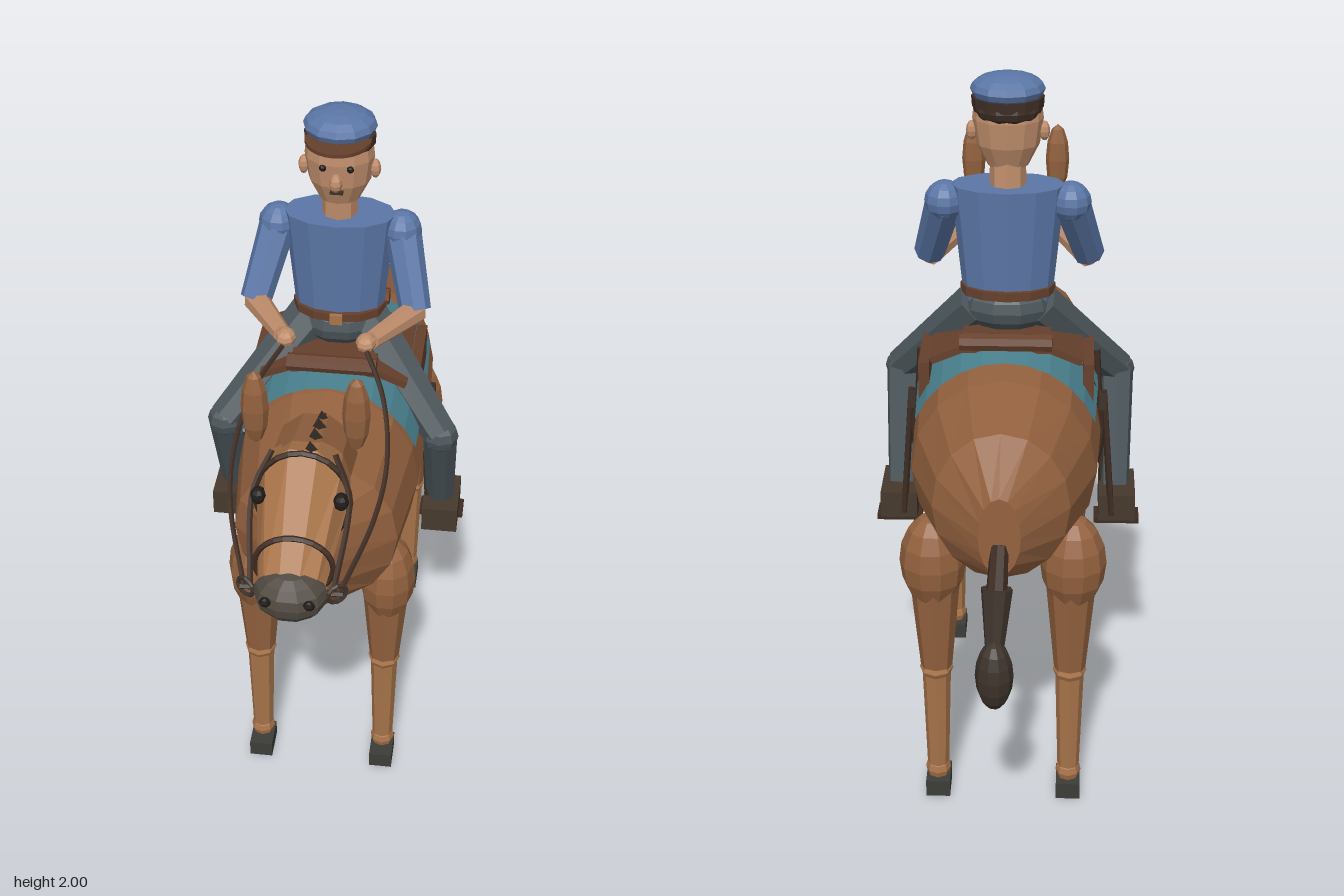
import * as THREE from 'three';

const mat = (color, side = THREE.FrontSide) => new THREE.MeshStandardMaterial({ color, flatShading: true, side });
const M = {
  coat: mat(0x94623f), light: mat(0xa8744a), dark: mat(0x3d332b), leather: mat(0x66402c), strap: mat(0x3e2c22),
  hoof: mat(0x3c3c38), muzzle: mat(0x514a42), black: mat(0x1f1b19), blanket: mat(0x4b8290, THREE.DoubleSide),
  shirt: mat(0x5b76a6), pants: mat(0x4c565b), skin: mat(0xc08e6c), shoe: mat(0x46392d), hair: mat(0x3f2f26),
};

export function createModel() {
  const model = new THREE.Group();
  let target = model;
  const V = (x, y, z) => new THREE.Vector3(x, y, z);
  const group = (name) => {
    target = new THREE.Group();
    target.name = name;
    model.add(target);
  };
  const add = (name, geo, m, p = [0, 0, 0]) => {
    const mesh = new THREE.Mesh(geo, m);
    mesh.name = name;
    mesh.position.set(...p);
    target.add(mesh);
    return mesh;
  };
  const box = (name, size, p, m) => add(name, new THREE.BoxGeometry(...size), m, p);
  const ball = (name, r, p, m, w = 10, h = 8) => {
    const b = add(name, new THREE.SphereGeometry(1, w, h), m, p);
    b.scale.set(...r);
    return b;
  };
  // Tapered limb between two points
  const limb = (name, a, b, r0, r1, m, sides = 8) => {
    const A = V(...a), B = V(...b), d = B.clone().sub(A);
    const mesh = add(name, new THREE.CylinderGeometry(r1, r0, d.length(), sides), m);
    mesh.position.copy(A).add(B).multiplyScalar(0.5);
    mesh.quaternion.setFromUnitVectors(V(0, 1, 0), d.normalize());
    return mesh;
  };
  const tube = (name, pts, r, m, closed = false) =>
    add(name, new THREE.TubeGeometry(new THREE.CatmullRomCurve3(pts.map((p) => V(...p)), closed), 24, r, 5, closed), m);
  // Skin over upright ellipses, front to back; each section is [z, top, bottom, halfWidth]
  const loft = (name, secs, m, n = 16, from = 0, to = Math.PI * 2, grow = 0) => {
    const pos = [], idx = [], whole = to - from > 6;
    secs.forEach(([z, t, b, w]) => {
      for (let j = 0; j <= n; j++) {
        const a = from + ((to - from) * j) / n;
        pos.push(Math.cos(a) * (w + grow), (t + b) / 2 + Math.sin(a) * ((t - b) / 2 + grow), z);
      }
    });
    const row = n + 1;
    for (let i = 0; i < secs.length - 1; i++) for (let j = 0; j < n; j++) {
      const p = i * row + j, q = p + row;
      idx.push(p, q, p + 1, p + 1, q, q + 1);
    }
    const last = (secs.length - 1) * row;
    if (whole) for (let j = 1; j < n - 1; j++) idx.push(0, j, j + 1, last, last + j + 1, last + j);
    const g = new THREE.BufferGeometry();
    g.setAttribute('position', new THREE.Float32BufferAttribute(pos, 3));
    g.setIndex(idx);
    g.computeVertexNormals();
    return add(name, g, m);
  };
  const both = (fn) => [1, -1].forEach(fn);

  // Horse trunk, neck and head
  group('horse');
  loft('body', [[0.56, 1.16, 0.84, 0.06], [0.4, 1.23, 0.74, 0.225], [0.14, 1.275, 0.695, 0.258], [-0.14, 1.275, 0.69, 0.265],
    [-0.45, 1.26, 0.725, 0.25], [-0.67, 1.215, 0.79, 0.18], [-0.785, 1.09, 0.865, 0.055]], M.coat);
  loft('neck', [[0.56, 1.43, 1.18, 0.11], [0.37, 1.375, 1.12, 0.11], [0.27, 1.28, 1.1, 0.09]], M.coat, 10);
  loft('head', [[0.88, 1.24, 1.12, 0.08], [0.62, 1.45, 1.16, 0.12], [0.53, 1.42, 1.18, 0.11]], M.light, 10);
  ball('muzzle', [0.095, 0.07, 0.075], [0, 1.18, 0.86], M.muzzle);
  both((s) => {
    ball('ear', [0.036, 0.11, 0.035], [s * 0.128, 1.53, 0.57], M.coat, 8, 6);
    ball('eye', [0.02, 0.024, 0.024], [s * 0.105, 1.345, 0.69], M.black, 8, 6);
    ball('nostril', [0.016, 0.014, 0.012], [s * 0.055, 1.2, 0.923], M.black, 6, 4);
  });
  // Mane tufts
  [[1.46, 0.62], [1.44, 0.54], [1.42, 0.47], [1.39, 0.4], [1.33, 0.33], [1.285, 0.28]].forEach(([y, z]) => {
    const t = add('maneTuft', new THREE.ConeGeometry(0.018, 0.06, 4), M.dark, [0.02, y, z]);
    t.rotation.x = 0.5;
  });

  // Legs
  [['frontLeg', 0.28, 0.735, 0.145, 0.08], ['hindLeg', -0.54, 0.765, 0.14, 0.09]].forEach(([name, z, hy, hr, hw]) => both((s) => {
    group(name);
    const x = s * 0.185;
    ball('shoulder', [hw, hr, 0.088], [s * 0.19, hy, z], M.coat);
    limb('upperLeg', [x, 0.74, z], [x, 0.42, z], 0.072, 0.043, M.coat);
    ball('knee', [0.047, 0.03, 0.05], [x, 0.42, z], M.light, 8, 6);
    limb('cannon', [x, 0.42, z], [x, 0.08, z], 0.04, 0.03, M.light);
    ball('fetlock', [0.036, 0.035, 0.038], [x, 0.08, z], M.light, 8, 6);
    box('hoof', [0.068, 0.05, 0.098], [x, 0.026, z + 0.012], M.hoof);
  }));

  // Tail
  group('tail');
  limb('tailRoot', [0, 0.95, -0.77], [0.005, 0.84, -0.825], 0.024, 0.028, M.strap);
  limb('tailHair', [0.005, 0.85, -0.82], [0.01, 0.69, -0.87], 0.042, 0.024, M.dark);
  ball('tailTip', [0.05, 0.1, 0.052], [0.01, 0.63, -0.885], M.dark);

  // Saddle and blanket
  group('saddle');
  loft('blanket', [[0.145, 1.275, 0.695, 0.258], [-0.14, 1.275, 0.69, 0.265], [-0.375, 1.264, 0.716, 0.254]],
    M.blanket, 10, 0.41, Math.PI - 0.41, 0.012);
  box('seat', [0.24, 0.03, 0.33], [0, 1.278, -0.12], M.leather);
  [0.055, -0.305].forEach((z) => limb('roll', [-0.125, 1.305, z], [0.125, 1.305, z], 0.025, 0.025, M.leather));
  both((s) => {
    box('saddleFlap', [0.03, 0.11, 0.21], [s * 0.225, 1.175, -0.175], M.leather);
    box('saddleSkirt', [0.1, 0.02, 0.3], [s * 0.16, 1.25, -0.12], M.leather).rotation.z = -s * 0.4;
    box('girthBuckle', [0.02, 0.05, 0.03], [s * 0.268, 1.07, -0.168], M.dark);
    limb('stirrupLeather', [s * 0.25, 1.18, -0.07], [s * 0.275, 0.74, -0.07], 0.01, 0.01, M.strap, 5);
    limb('stirrupStrap', [s * 0.27, 1.1, -0.168], [s * 0.3, 0.7, -0.165], 0.01, 0.01, M.strap, 5);
    box('stirrupTread', [0.13, 0.016, 0.07], [s * 0.315, 0.675, -0.12], M.strap);
  });
  const girth = add('girth', new THREE.TorusGeometry(1, 0.035, 5, 24), M.strap, [0, 0.982, -0.168]);
  girth.scale.set(0.268, 0.297, 0.4);

  // Bridle and reins
  group('bridle');
  const band = (name, z, y, rx, ry) => {
    const pts = [];
    for (let i = 0; i < 12; i++) pts.push([Math.cos(i * Math.PI / 6) * rx, y + Math.sin(i * Math.PI / 6) * ry, z]);
    tube(name, pts, 0.008, M.strap, true);
  };
  band('browBand', 0.635, 1.3, 0.122, 0.145);
  band('noseBand', 0.8, 1.218, 0.1, 0.088);
  limb('bit', [-0.13, 1.18, 0.85], [0.13, 1.18, 0.85], 0.008, 0.008, M.dark, 5);
  both((s) => {
    add('bitRing', new THREE.TorusGeometry(0.026, 0.006, 5, 12), M.dark, [s * 0.115, 1.18, 0.85]).rotation.y = 0.6 * s;
    tube('cheekStrap', [[s * 0.08, 1.43, 0.61], [s * 0.122, 1.34, 0.67], [s * 0.105, 1.18, 0.85]], 0.008, M.strap);
    tube('rein', [[s * 0.12, 1.18, 0.85], [s * 0.185, 1.265, 0.65], [s * 0.2, 1.33, 0.5], [s * 0.17, 1.41, 0.33], [s * 0.1, 1.475, 0.18]],
      0.007, M.strap);
  });

  // Rider torso
  group('rider');
  const torso = add('torso', new THREE.CylinderGeometry(0.155, 0.12, 0.35, 12), M.shirt, [0, 1.518, -0.125]);
  torso.scale.z = 0.58;
  ball('hips', [0.125, 0.075, 0.09], [0, 1.345, -0.13], M.pants);
  const belt = add('belt', new THREE.CylinderGeometry(0.131, 0.131, 0.025, 12), M.leather, [0, 1.395, -0.125]);
  belt.scale.z = 0.67;
  box('beltBuckle', [0.035, 0.03, 0.012], [0, 1.395, -0.035], M.light);

  // Arms and legs
  both((s) => {
    ball('shoulder', [0.056, 0.056, 0.056], [s * 0.17, 1.645, -0.13], M.shirt);
    limb('upperArm', [s * 0.172, 1.64, -0.13], [s * 0.222, 1.455, -0.02], 0.052, 0.044, M.shirt);
    limb('forearm', [s * 0.222, 1.45, -0.025], [s * 0.12, 1.473, 0.165], 0.036, 0.025, M.skin);
    ball('hand', [0.028, 0.024, 0.034], [s * 0.108, 1.475, 0.18], M.skin, 8, 6);
    limb('thigh', [s * 0.08, 1.35, -0.13], [s * 0.31, 1.08, 0.04], 0.066, 0.05, M.pants, 7);
    ball('knee', [0.052, 0.05, 0.052], [s * 0.31, 1.075, 0.04], M.pants, 8, 6);
    limb('shin', [s * 0.31, 1.08, 0.04], [s * 0.31, 0.76, -0.085], 0.05, 0.042, M.pants, 7);
    box('shoe', [0.105, 0.08, 0.17], [s * 0.315, 0.723, -0.083], M.shoe);
  });

  // Head and cap
  group('riderHead');
  limb('neck', [0, 1.67, -0.125], [0, 1.78, -0.12], 0.05, 0.048, M.skin);
  const skull = add('head', new THREE.LatheGeometry([[0, -0.11], [0.055, -0.1], [0.085, -0.04], [0.095, 0.03], [0.088, 0.09], [0, 0.11]]
    .map((p) => new THREE.Vector2(...p)), 12), M.skin, [0, 1.845, -0.118]);
  skull.scale.z = 0.82;
  ball('nose', [0.018, 0.026, 0.024], [0, 1.83, -0.035], M.skin, 8, 6);
  box('mouth', [0.035, 0.008, 0.012], [0, 1.795, -0.047], M.hair);
  both((s) => {
    ball('ear', [0.015, 0.027, 0.02], [s * 0.097, 1.838, -0.115], M.skin, 8, 6);
    ball('eye', [0.01, 0.01, 0.008], [s * 0.037, 1.867, -0.046], M.black, 6, 5);
  });
  ball('hair', [0.092, 0.045, 0.075], [0, 1.905, -0.135], M.hair);
  add('capBand', new THREE.CylinderGeometry(0.097, 0.095, 0.03, 12), M.hair, [0, 1.922, -0.125]).scale.z = 0.88;
  ball('capCrown', [0.1, 0.042, 0.094], [0, 1.958, -0.13], M.shirt, 12, 8);
  const visor = add('visor', new THREE.CylinderGeometry(0.09, 0.09, 0.01, 12, 1, false, -Math.PI / 2, Math.PI), M.leather, [0, 1.935, -0.09]);
  visor.scale.z = 1.12;
  return model;
}
